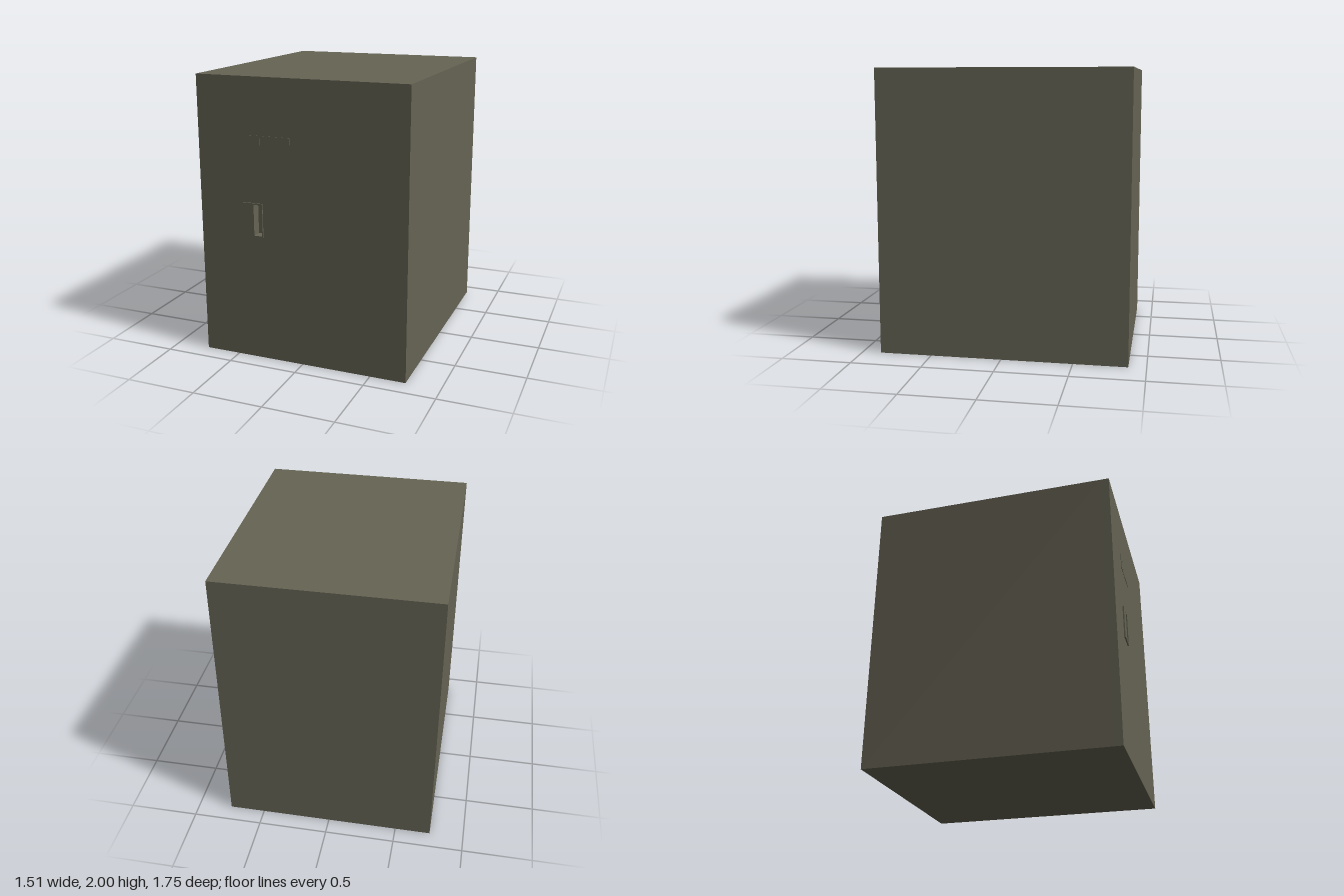
import * as THREE from 'three';

const FRONT = 0.868, BACK = -0.877, DEPTH = 0.06;

// Rectangle corners, for outlines and holes
function corners(x0, x1, y0, y1) {
  return [[x0, y0], [x1, y0], [x1, y1], [x0, y1]].map(([x, y]) => new THREE.Vector2(x, y));
}

export function createModel() {
  const model = new THREE.Group();
  const paint = new THREE.MeshStandardMaterial({ color: 0x666454 });
  paint.name = 'olive grey paint';

  function add(name, geometry) {
    const mesh = new THREE.Mesh(geometry, paint);
    mesh.name = name;
    model.add(mesh);
    return mesh;
  }

  // Flat slab facing forward, optionally with a rectangular opening
  function slab(name, rect, z0, z1, opening) {
    const shape = new THREE.Shape(corners(...rect));
    if (opening) shape.holes.push(new THREE.Path(corners(...opening)));
    const geometry = new THREE.ExtrudeGeometry(shape, { depth: z1 - z0, bevelEnabled: false });
    geometry.translate(0, 0, z0);
    return add(name, geometry);
  }

  // Cabinet body and the front panel, cut through for the finger recess
  const slot = [-0.345, -0.285, 0.91, 1.13];
  slab('cabinetBody', [-0.755, 0.755, 0, 2], BACK, FRONT - DEPTH);
  slab('frontPanel', [-0.755, 0.755, 0, 2], FRONT - DEPTH, FRONT, slot);

  // Latch plate around the recess
  slab('latchPlate', [-0.43, -0.28, 0.9, 1.14], FRONT, 0.877, slot);

  // Name plate in two fields
  slab('namePlateEnd', [-0.373, -0.291, 1.49, 1.608], FRONT, FRONT + 0.003);
  slab('namePlateField', [-0.289, -0.067, 1.49, 1.608], FRONT, FRONT + 0.003);

  return model;
}
